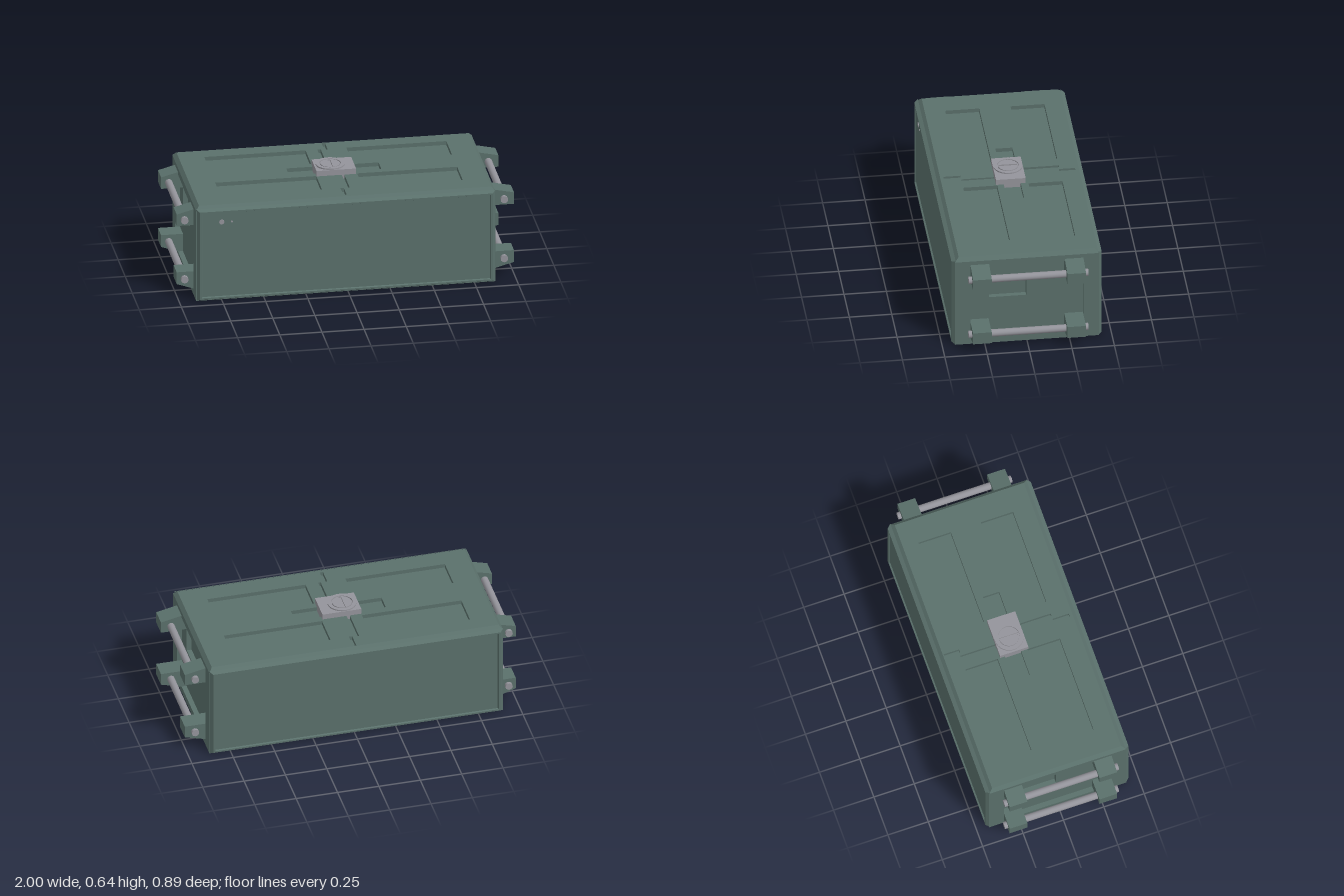
import * as THREE from 'three';

const green = new THREE.MeshStandardMaterial({ name: 'green paint', color: 0x5a706b });
const metal = new THREE.MeshStandardMaterial({ name: 'grey metal', color: 0x94949b });
green.flatShading = true;

const HALF = 0.8875; // half length of the case
const CENTRE = -0.0125;

function add(parent, name, geometry, material, x = 0, y = 0, z = 0) {
  const mesh = new THREE.Mesh(geometry, material);
  mesh.name = name;
  mesh.position.set(x, y, z);
  parent.add(mesh);
  return mesh;
}

// Flat-sided loft through rectangles [halfWidth, halfHeight, z]
function loft(rings) {
  const p = [];
  const corner = ([a, b, z], i) => [[a, -b, z], [a, b, z], [-a, b, z], [-a, -b, z]][i % 4];
  for (let k = 0; k < rings.length - 1; k++) {
    for (let i = 0; i < 4; i++) {
      const A = corner(rings[k], i), B = corner(rings[k], i + 1);
      const C = corner(rings[k + 1], i + 1), D = corner(rings[k + 1], i);
      p.push(...A, ...B, ...C, ...A, ...C, ...D);
    }
  }
  const g = new THREE.BufferGeometry();
  g.setAttribute('position', new THREE.Float32BufferAttribute(p, 3));
  g.computeVertexNormals();
  return g;
}

function rect(path, x0, x1, y0, y1) {
  path.moveTo(x0, y0);
  path.lineTo(x1, y0);
  path.lineTo(x1, y1);
  path.lineTo(x0, y1);
  path.closePath();
  return path;
}

// Plate lying in xy with rectangular holes, each given as [x0, x1, y0, y1]
function plate(outline, holes, depth) {
  const shape = rect(new THREE.Shape(), ...outline);
  holes.forEach((h) => shape.holes.push(rect(new THREE.Path(), ...h)));
  return new THREE.ExtrudeGeometry(shape, { depth, bevelEnabled: false });
}

// Carrying end: stepped recess, pocket, four brackets and two rods; faces +x
function makeEnd(tip, rodX) {
  const end = new THREE.Group();
  const pocket = plate([-0.38, 0.38, 0.02, 0.55], [[-0.22, 0, 0.295, 0.445]], 0.03);
  const frame = plate([-0.425, 0.425, 0, 0.57], [[-0.333, 0.333, 0.04, 0.53]], 0.03);
  add(end, 'endPocketPanel', pocket, green, HALF - 0.06).rotation.y = Math.PI / 2;
  add(end, 'endFrame', frame, green, HALF - 0.03).rotation.y = Math.PI / 2;
  // Side walls behind the frame
  for (const s of [-1, 1]) {
    add(end, 'endWall', new THREE.BoxGeometry(0.04, 0.57, 0.05), green, HALF - 0.045, 0.285, s * 0.4);
  }
  add(end, 'endFloor', new THREE.BoxGeometry(0.04, 0.02, 0.8), green, HALF - 0.045, 0.01, 0);

  const inner = HALF - 0.03;
  for (const [flat, slopeIn, slopeOut, rodY] of [[0.445, 0.545, 0.518, 0.483], [0.15, 0.04, 0.075, 0.107]]) {
    const points = [[inner, flat], [tip, flat], [tip, slopeOut], [HALF, slopeIn], [inner, slopeIn]];
    const shape = new THREE.Shape(points.map(([x, y]) => new THREE.Vector2(x, y)));
    for (const z of [-0.333, 0.223]) {
      add(end, 'bracket', new THREE.ExtrudeGeometry(shape, { depth: 0.11, bevelEnabled: false }), green, 0, 0, z);
    }
    const rod = new THREE.CylinderGeometry(0.022, 0.022, 0.706, 12).rotateX(Math.PI / 2);
    add(end, 'carryRod', rod, metal, rodX, rodY, 0);
  }
  return end;
}

export function createModel() {
  const model = new THREE.Group();
  model.name = 'storageCase';
  const body = new THREE.Group();
  body.name = 'caseBody';
  body.position.x = CENTRE;
  model.add(body);

  // Core box
  const L = HALF - 0.06;
  const core = loft([[0, 0, 0], [L, 0.425, 0], [L, 0.425, 0.57], [0, 0, 0.57]]);
  add(body, 'core', core.rotateX(-Math.PI / 2), green);

  // Front and back panels: bevelled rim around a shallow recess
  for (const back of [0, 1]) {
    const panel = loft([[HALF, 0.29, 0.42], [0.869, 0.278, 0.443], [0.857, 0.268, 0.443],
      [0.852, 0.264, 0.434], [0, 0, 0.434]]);
    add(body, back ? 'backPanel' : 'frontPanel', panel, green, 0, 0.29, 0).rotation.y = back * Math.PI;
  }

  // Lid with sunken panels and slots, inside a bevelled skirt
  const holes = [];
  for (const [z0, z1] of [[-0.305, -0.105], [0.08, 0.28]]) {
    holes.push([-0.73, -0.13, z0, z1], [0.112, 0.705, z0, z1]);
  }
  holes.push([-0.285, -0.12, -0.06, 0.04], [0.1, 0.262, -0.06, 0.04]);
  holes.push([-0.06, -0.04, -0.305, -0.08], [0.02, 0.035, 0.075, 0.28]);
  holes.push([-0.02, 0, -0.395, -0.3], [-0.02, 0, 0.28, 0.38]);
  const lidHoles = holes.map(([x0, x1, z0, z1]) => [x0 - CENTRE, x1 - CENTRE, -z1, -z0]);
  const lid = plate([-0.867, 0.867, -0.4, 0.4], lidHoles, 0.026);
  add(body, 'lid', lid.rotateX(-Math.PI / 2), green, 0, 0.568, 0);
  const skirt = loft([[HALF, 0.425, 0.57], [0.867, 0.4, 0.594]]);
  add(body, 'lidBevel', skirt.rotateX(-Math.PI / 2), green);

  // Ends
  const left = makeEnd(1 - CENTRE, 0.94 - CENTRE);
  left.name = 'leftEnd';
  const right = makeEnd(1 + CENTRE, 0.955 + CENTRE);
  right.name = 'rightEnd';
  right.rotation.y = Math.PI;
  body.add(left, right);

  // Latch block with ring and slotted dial
  const latch = new THREE.Group();
  latch.name = 'latch';
  model.add(latch);
  add(latch, 'latchBlock', new THREE.BoxGeometry(0.235, 0.06, 0.175), metal, -0.0125, 0.598, -0.002);
  const ring = new THREE.Shape().absarc(0, 0, 0.085, 0, Math.PI * 2);
  ring.holes.push(new THREE.Path().absarc(0, 0, 0.064, 0, Math.PI * 2));
  const dial = new THREE.Shape().absarc(0, 0, 0.058, 0, Math.PI * 2);
  dial.holes.push(rect(new THREE.Path(), -0.008, 0.008, -0.054, 0.054));
  for (const [name, shape] of [['latchRing', ring], ['latchDial', dial]]) {
    const g = new THREE.ExtrudeGeometry(shape, { depth: 0.01, bevelEnabled: false, curveSegments: 24 });
    add(latch, name, g.rotateX(-Math.PI / 2), metal, -0.035, 0.626, -0.002);
  }

  // Small studs on the front
  for (const [x, r] of [[-0.75, 0.016], [-0.69, 0.006]]) {
    const stud = new THREE.CylinderGeometry(r, r, 0.006, 8).rotateX(Math.PI / 2);
    add(model, 'frontStud', stud, metal, x, 0.497, 0.435);
  }
  return model;
}
